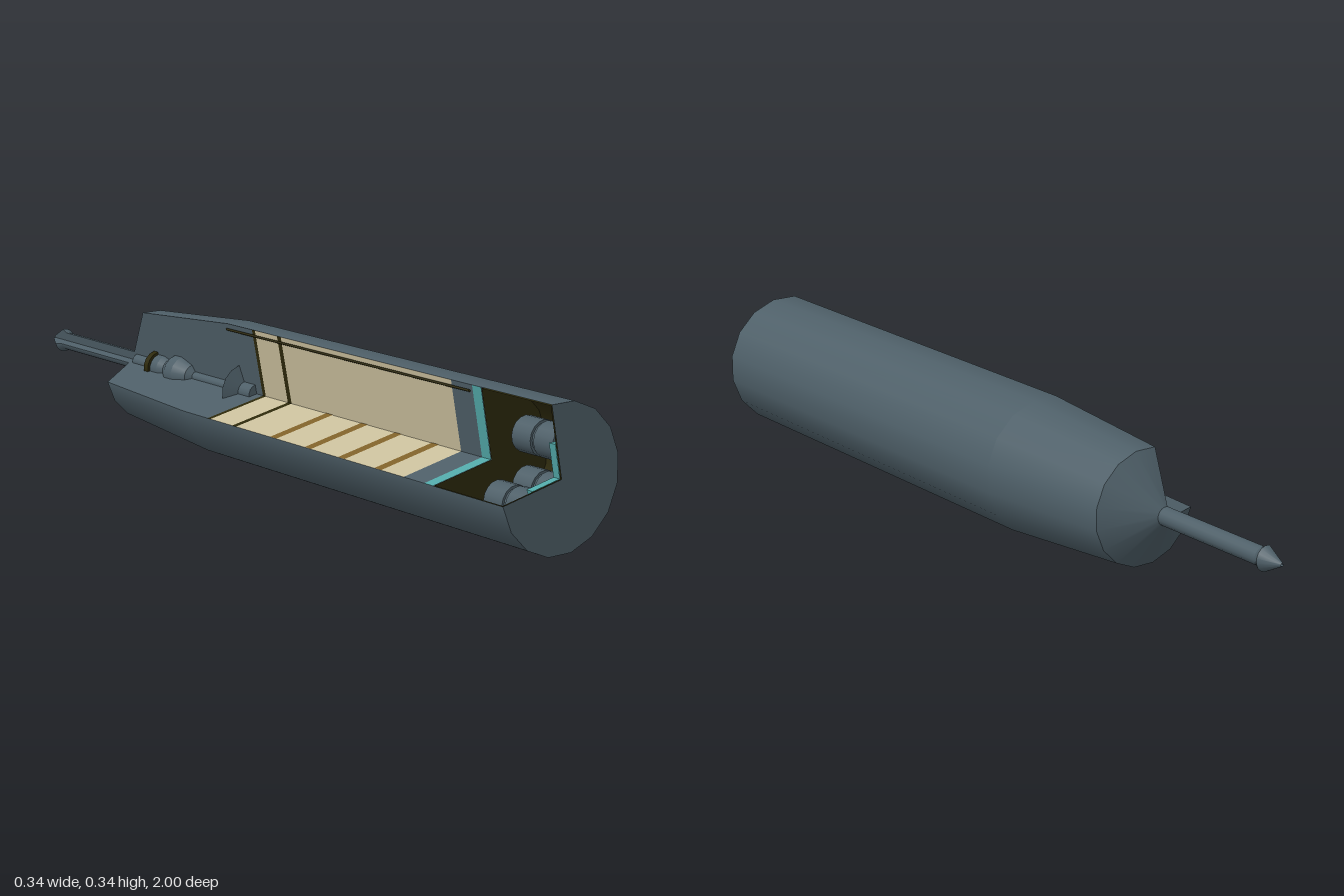
import * as THREE from 'three';

const paint = (name, hex) => {
  const m = new THREE.MeshStandardMaterial({ color: hex, side: THREE.DoubleSide });
  m.name = name;
  return m;
};

export function createModel() {
  const slate = paint('slate casing', 0x4e5f68);
  const cream = paint('cream filler', 0xcbc09d);
  const olive = paint('dark olive lining', 0x2d290b);
  const teal = paint('teal seal', 0x52a9a9);
  const brown = paint('brown band', 0x80622a);

  const model = new THREE.Group();
  model.name = 'cutawayShell';
  const body = new THREE.Group();
  body.name = 'body';
  body.position.y = 0.1687;
  model.add(body);

  const RAD = Math.PI / 180;
  const LOWER = 191.25 * RAD, UPPER = 101.25 * RAD, SWEEP = 270 * RAD;
  const R = 0.172;

  const add = (name, geo, mat) => {
    const mesh = new THREE.Mesh(geo, mat);
    mesh.name = name;
    body.add(mesh);
    return mesh;
  };

  // Skin around the z axis with a quarter left open; one lathe per step keeps the rims sharp
  const skin = (name, profile, mat, full = false) => {
    for (let i = 0; i < profile.length - 1; i++) {
      const pts = [profile[i], profile[i + 1]].map(([r, z]) => new THREE.Vector2(r, z));
      const geo = full
        ? new THREE.LatheGeometry(pts, 16, 11.25 * RAD)
        : new THREE.LatheGeometry(pts, 12, LOWER + Math.PI / 2, SWEEP);
      geo.rotateX(Math.PI / 2);
      add(name, geo, mat);
    }
  };

  // Flat section face running from the axis out to a profile of [radius, z]
  const cutFace = (name, profile, mat, angle, lift = 0) => {
    const outline = [[0, profile[0][1]], ...profile, [0, profile[profile.length - 1][1]]];
    const geo = new THREE.ShapeGeometry(new THREE.Shape(outline.map(([r, z]) => new THREE.Vector2(r, z))));
    const radial = new THREE.Vector3(Math.cos(angle), Math.sin(angle), 0);
    const axial = new THREE.Vector3(0, 0, 1);
    const normal = radial.clone().cross(axial);
    geo.applyMatrix4(new THREE.Matrix4().makeBasis(radial, axial, normal));
    geo.translate(normal.x * lift, normal.y * lift, 0);
    add(name, geo, mat);
  };
  const cutFaces = (name, profile, mat) => [LOWER, UPPER].forEach((a) => cutFace(name, profile, mat, a));

  // Three-quarter disc facing the front
  const disc = (name, r, z, mat) =>
    add(name, new THREE.CircleGeometry(r, 12, LOWER, SWEEP).translate(0, 0, z), mat);

  // Casing, nose cone and probe
  const nose = [[0.004, -1], [0.031, -0.95], [0.023, -0.935], [0.023, -0.61],
    [0.143, -0.535], [R, -0.16]];
  skin('casing', [...nose, [R, 1]], slate);
  disc('basePlate', R, 1, slate);
  cutFaces('noseSection', [...nose, [R, -0.06]], slate);

  // Filled middle section
  const slices = [
    ['frontSeal', -0.06, -0.048, olive], ['filler', -0.048, 0.04, cream],
    ['separator', 0.04, 0.055, olive], ['filler', 0.055, 0.675, cream],
    ['bulkhead', 0.675, 0.745, slate], ['bulkheadSeal', 0.745, 0.775, teal],
  ];
  for (const [name, z0, z1, mat] of slices) cutFaces(name, [[R, z0], [R, z1]], mat);
  for (const z of [0.203, 0.334, 0.457, 0.587]) {
    cutFace('fillerBand', [[R, z - 0.012], [R, z + 0.012]], brown, LOWER, 0.001);
  }

  // Hollow base compartment
  skin('compartmentLining', [[R - 0.003, 0.775], [R - 0.003, 0.997]], olive);
  disc('compartmentFloor', R - 0.003, 0.776, olive);
  disc('compartmentLid', R - 0.003, 0.996, olive);
  skin('baseSeal', [[0.08, 0.975], [0.08, 0.995]], teal);
  disc('baseSealFace', 0.08, 0.975, teal);
  cutFaces('baseSealSection', [[0.08, 0.975], [0.08, 0.995]], teal);

  // Canisters, each in two halves with a narrow waist
  for (const [x, y] of [[0.06, 0.06], [0.065, -0.055], [-0.02, -0.075]]) {
    for (const [r, len, z] of [[0.042, 0.06, 0.85], [0.036, 0.012, 0.885], [0.042, 0.06, 0.92]]) {
      add('canister', new THREE.CylinderGeometry(r, r, len, 16).rotateX(Math.PI / 2), slate)
        .position.set(x, y, z);
    }
  }

  // Fuze train along the axis: spool, stem and flared cup
  skin('fuzeTrain', [[0.018, -0.6], [0.018, -0.53], [0.034, -0.51], [0.034, -0.47], [0.028, -0.45],
    [0.045, -0.42], [0.045, -0.39], [0.03, -0.35], [0.014, -0.34], [0.014, -0.19],
    [0.025, -0.18], [0.066, -0.14], [0.024, -0.13], [0.024, -0.085], [0, -0.085]], slate, true);
  skin('fuzeCollar', [[0.03, -0.515], [0.041, -0.515], [0.041, -0.497], [0.03, -0.497]], olive, true);

  // Thin wire along the upper section edge
  const wire = new THREE.CylinderGeometry(0.003, 0.003, 0.9, 6).rotateX(Math.PI / 2);
  add('wire', wire, olive).position.set(-0.036, 0.155, 0.29);

  return model;
}
